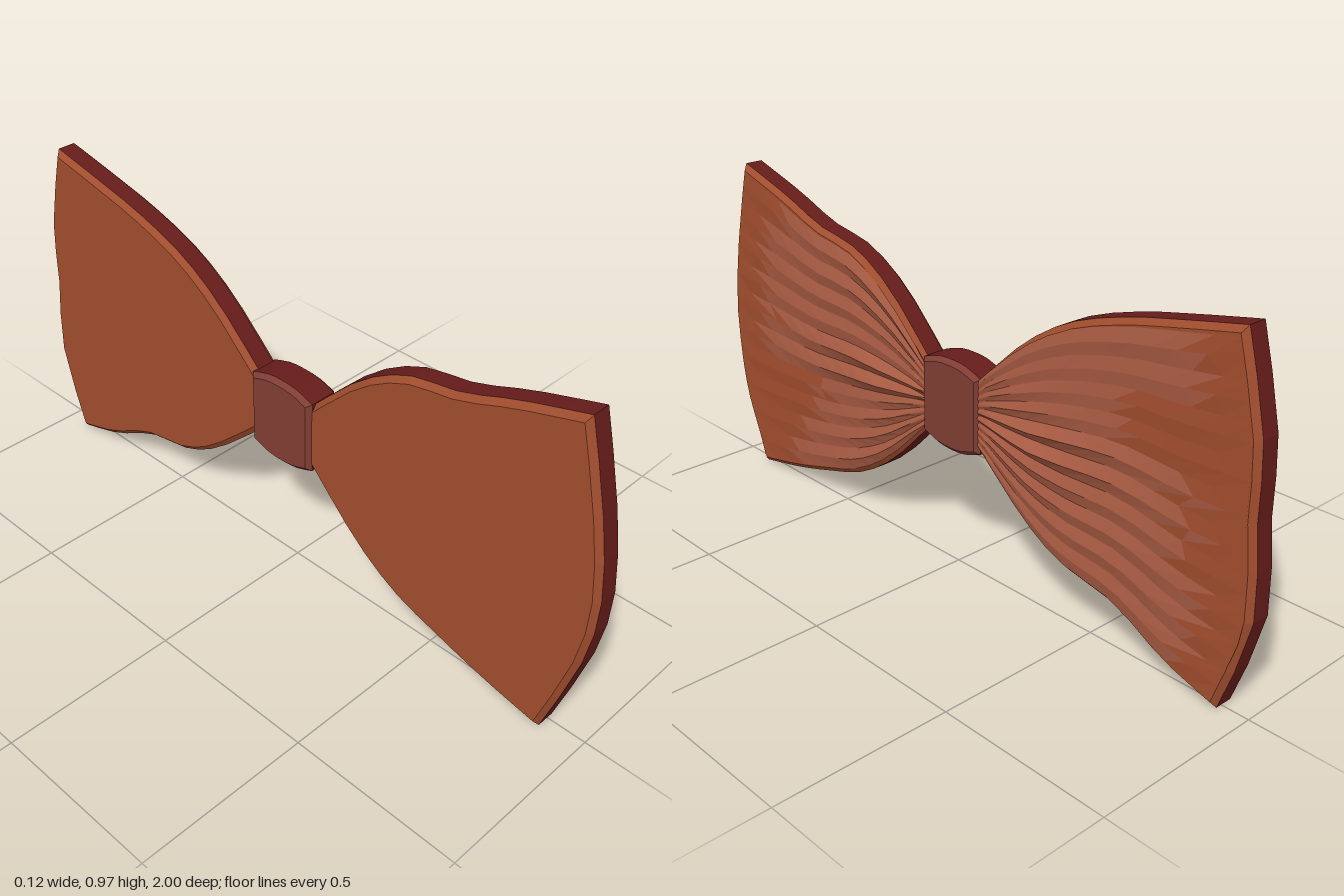
import * as THREE from 'three';

const material = (color) => new THREE.MeshStandardMaterial({ color, flatShading: true });
const cloth = material(0xa04d2e), fold = material(0xa85b43), edge = material(0x651c1a), band = material(0x803d33);

// Splits a geometry in two meshes by how squarely each triangle faces along x
function splitByFacing(geometry, limit, facing, sloped, names) {
  const g = geometry.index ? geometry.toNonIndexed() : geometry;
  const p = g.attributes.position, lists = [[], []];
  const tri = new THREE.Triangle(), n = new THREE.Vector3();
  for (let i = 0; i < p.count; i += 3) {
    tri.setFromAttributeAndIndices(p, i, i + 1, i + 2);
    if (tri.getArea() < 1e-9) continue;
    tri.getNormal(n);
    const list = lists[Math.abs(n.x) > limit ? 0 : 1];
    for (const v of [tri.a, tri.b, tri.c]) list.push(v.x, v.y, v.z);
  }
  return lists.map((list, k) => {
    const part = new THREE.BufferGeometry();
    part.setAttribute('position', new THREE.Float32BufferAttribute(list, 3));
    part.computeVertexNormals();
    const mesh = new THREE.Mesh(part, k ? sloped : facing);
    mesh.name = names[k];
    return mesh;
  });
}

// Chamfered plate from an outline of (z, y) points, between two x positions
function plate(outline, x0, x1, bevel) {
  const shape = new THREE.Shape(outline.map((p) => new THREE.Vector2(-p.x, p.y)));
  const g = new THREE.ExtrudeGeometry(shape, {
    depth: x1 - x0 - 2 * bevel, bevelThickness: bevel, bevelSize: bevel, bevelOffset: -bevel, bevelSegments: 1,
  });
  return g.translate(0, 0, x0 + bevel).rotateY(Math.PI / 2);
}

const spline = (pts) => new THREE.SplineCurve(pts.map(([z, y]) => new THREE.Vector2(z, y)));

function wing(name, topPts, outerPts, bottomPts, seed) {
  const group = new THREE.Group();
  group.name = name;
  const top = spline(topPts), outer = spline(outerPts), bottom = spline(bottomPts);

  // Flat backing with chamfered rim
  const outline = [...top.getPoints(12), ...outer.getPoints(8).slice(1), ...bottom.getPoints(12).reverse().slice(1)];
  group.add(...splitByFacing(plate(outline, -0.05, 0.033, 0.015), 0.1, cloth, edge, ['backing', 'rim']));

  // Pleats: a fan of ridges that swell near the knot and die out at the outer edge
  const rows = 12, cols = 20, pos = [], index = [];
  const wobble = (i, j) => Math.sin(i * 12.9 + j * 78.2 + seed * 3.7);
  for (let i = 0; i <= rows; i++) {
    for (let j = 0; j <= cols; j++) {
      const v = 0.025 + 0.95 * (j / cols);
      const inner = i > 0 && i < rows && j > 0 && j < cols;
      const t = 0.975 * (i / rows) + (inner ? 0.022 * wobble(1, j) : 0);
      const a = top.getPoint(t), b = bottom.getPoint(t), o = outer.getPoint(v);
      const bulge = o.x - THREE.MathUtils.lerp(topPts.at(-1)[0], bottomPts.at(-1)[0], v);
      const swell = Math.max(0, t < 0.25 ? 0.25 + 3 * t : (0.93 - t) / 0.68);
      let h = 0.002;
      if (inner) {
        const middle = j === 9 || j === 11;
        const ridge = j % 2 ? (middle ? 0.025 * swell : 0.012 * Math.sqrt(swell)) : 0.002 * swell;
        h += ridge * (middle ? 1 : 0.8 + 0.3 * wobble(i, j));
      }
      pos.push(0.033 + h, a.y + (b.y - a.y) * v, a.x + (b.x - a.x) * v + bulge * t ** 3);
      if (i < rows && j < cols) {
        const k = i * (cols + 1) + j, m = k + cols + 1;
        // Corner order depends on which way the wing points
        if (topPts[0][0] > 0) index.push(k, m, k + 1, k + 1, m, m + 1);
        else index.push(k, k + 1, m, k + 1, m + 1, m);
      }
    }
  }
  // Keep every triangle facing +x
  for (let q = 0; q < index.length; q += 3) {
    const [a, b, c] = index.slice(q, q + 3).map((k) => [pos[3 * k + 1], pos[3 * k + 2]]);
    const nx = (b[0] - a[0]) * (c[1] - a[1]) - (b[1] - a[1]) * (c[0] - a[0]);
    if (nx < 0) [index[q + 1], index[q + 2]] = [index[q + 2], index[q + 1]];
  }
  const g = new THREE.BufferGeometry();
  g.setAttribute('position', new THREE.Float32BufferAttribute(pos, 3));
  g.setIndex(index);
  group.add(...splitByFacing(g, 0.996, cloth, fold, ['flatCloth', 'pleats']));
  return group;
}

export function createModel() {
  const model = new THREE.Group();
  model.name = 'bowTie';

  model.add(wing('frontWing',
    [[0.08, 0.57], [0.25, 0.735], [0.4, 0.822], [0.56, 0.853], [0.72, 0.91], [0.91, 0.966]],
    [[0.91, 0.966], [0.97, 0.72], [1, 0.49], [0.975, 0.28], [0.885, 0]],
    [[0.08, 0.405], [0.25, 0.235], [0.4, 0.135], [0.56, 0.08], [0.72, 0.035], [0.885, 0]], 1));

  model.add(wing('rearWing',
    [[-0.1, 0.585], [-0.26, 0.735], [-0.41, 0.83], [-0.58, 0.89], [-0.75, 0.93], [-0.92, 0.966]],
    [[-0.92, 0.966], [-0.98, 0.72], [-0.985, 0.52], [-1, 0.27], [-0.92, 0]],
    [[-0.1, 0.41], [-0.28, 0.25], [-0.42, 0.17], [-0.59, 0.135], [-0.76, 0.05], [-0.92, 0]], 2));

  // Knot: a band with bowed top and bottom
  const upper = spline([[-0.118, 0.595], [-0.06, 0.614], [-0.01, 0.618], [0.045, 0.614], [0.102, 0.595]]).getPoints(8);
  const lower = spline([[0.102, 0.38], [0.045, 0.36], [-0.01, 0.355], [-0.06, 0.36], [-0.118, 0.38]]).getPoints(8);
  const knot = new THREE.Group();
  knot.name = 'knot';
  knot.add(...splitByFacing(plate([...upper, ...lower], -0.062, 0.044, 0.013), 0.1, band, edge, ['knotBand', 'knotEdge']));
  model.add(knot);
  return model;
}
